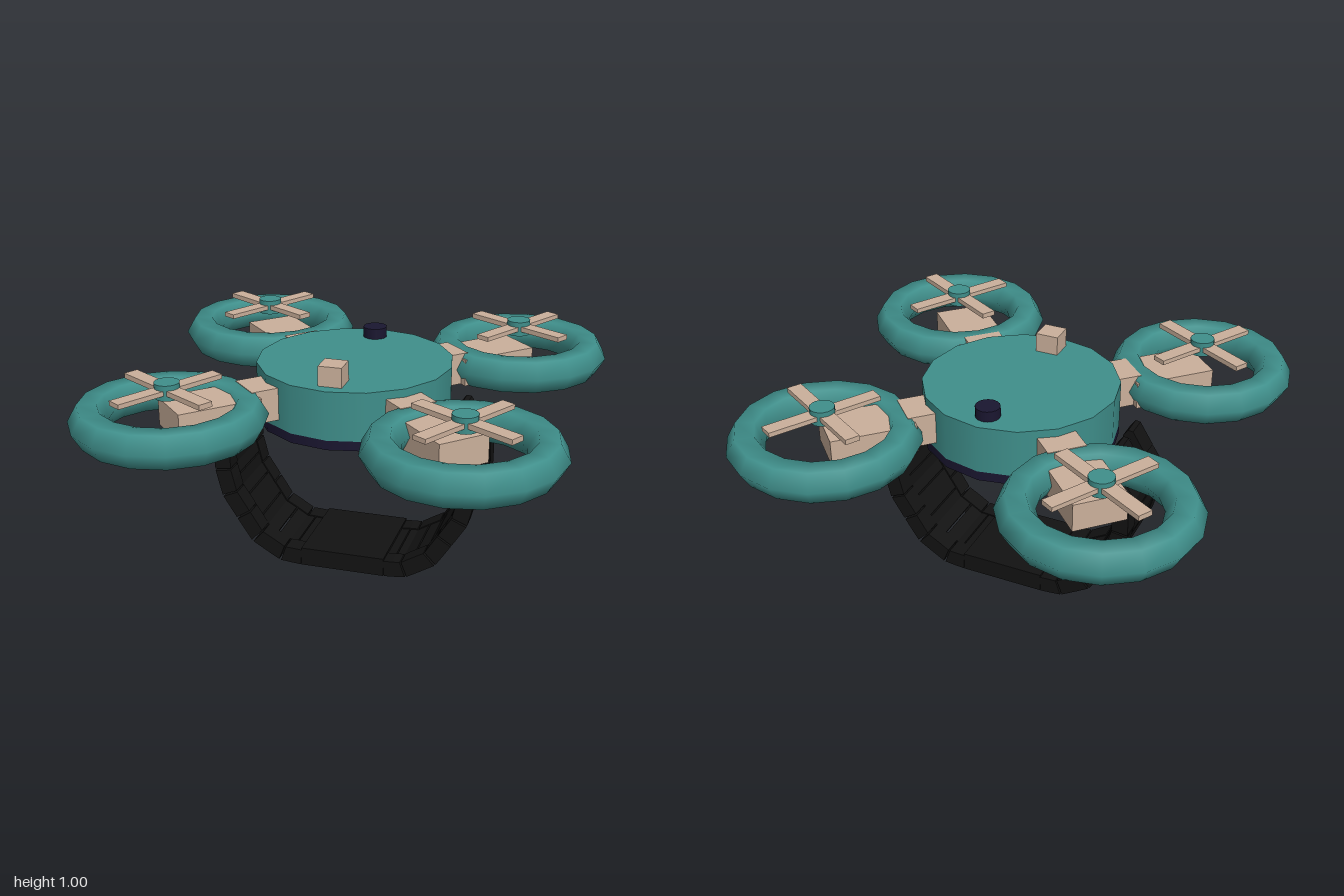
import * as THREE from 'three';

const mat = (color) => new THREE.MeshStandardMaterial({ color });

export function createModel() {
  const root = new THREE.Group();
  const teal = mat(0x3f8f8b), beige = mat(0xcbb09b), navy = mat(0x1a1630), black = mat(0x121212);

  const add = (parent, name, geo, material, x = 0, y = 0, z = 0) => {
    const m = new THREE.Mesh(geo, material);
    m.name = name;
    m.position.set(x, y, z);
    parent.add(m);
    return m;
  };
  const box = (w, h, d) => new THREE.BoxGeometry(w, h, d);
  const disc = (r, h) => new THREE.CylinderGeometry(r, r, h, 16);

  // Round body with its base plate, camera block and button
  add(root, 'body', disc(0.42, 0.21), teal, 0, 0.812, 0);
  add(root, 'basePlate', disc(0.42, 0.042), navy, 0, 0.687, 0);
  add(root, 'cameraBlock', box(0.1, 0.09, 0.1), beige, 0, 0.957, 0.315);
  add(root, 'topButton', disc(0.052, 0.048), navy, 0, 0.939, -0.32);

  // Four rotors on diagonal arms
  const ringGeo = new THREE.TorusGeometry(0.32, 0.08, 6, 16).rotateX(Math.PI / 2);
  for (const sx of [1, -1]) for (const sz of [1, -1]) {
    const rotor = new THREE.Group();
    rotor.name = 'rotor';
    add(rotor, 'guardRing', ringGeo, teal, sx * 0.6, 0.81, sz * 0.6);

    // Arm pieces lie along local +z, which is turned outwards
    const arm = new THREE.Group();
    arm.name = 'arm';
    arm.rotation.y = Math.atan2(sx, sz);
    add(arm, 'armConnector', box(0.165, 0.14, 0.17), beige, 0, 0.812, 0.435);
    add(arm, 'motorMount', box(0.225, 0.12, 0.36), beige, 0, 0.8, 0.67);
    rotor.add(arm);

    // Crossed propeller blades and hub
    const propeller = new THREE.Group();
    propeller.name = 'propeller';
    propeller.position.set(sx * 0.6, 0.93, sz * 0.6);
    propeller.rotation.y = -Math.PI / 6;
    add(propeller, 'bladePair', box(0.5, 0.022, 0.063), beige);
    add(propeller, 'bladePair', box(0.063, 0.02, 0.5), beige);
    add(propeller, 'hub', disc(0.052, 0.064), teal);
    rotor.add(propeller);
    root.add(rotor);
  }

  // Strap centre line, from the lug down to the clasp
  const path = [
    [0.478, 0.625], [0.543, 0.535], [0.543, 0.42], [0.515, 0.307], [0.454, 0.211],
    [0.392, 0.115], [0.275, 0.045], [0.185, 0.038],
  ].map(([x, y]) => new THREE.Vector2(x, y));
  const stations = [];
  path.forEach((p, i) => {
    stations.push(p);
    if (i < path.length - 1) stations.push(p.clone().lerp(path[i + 1], 0.5));
  });
  const half = 0.036;
  const offset = (i, d) => {
    const a = stations[Math.max(i - 1, 0)], b = stations[Math.min(i + 1, stations.length - 1)];
    const t = b.clone().sub(a).normalize();
    return new THREE.Vector2(-t.y, t.x).multiplyScalar(d).add(stations[i]);
  };

  const extrude = (shape, z, depth) =>
    new THREE.ExtrudeGeometry(shape, { depth, bevelEnabled: false, curveSegments: 6 }).translate(0, 0, z - depth / 2);

  // One link covering stations i to j, with a narrow gap at each end
  const link = (i, j, z, width, thick) => {
    const edge = (d) => {
      const pts = [];
      for (let k = i; k <= j; k++) pts.push(offset(k, d));
      const n = pts.length - 1;
      const first = pts[0].clone().lerp(pts[1], 0.07), last = pts[n].clone().lerp(pts[n - 1], 0.07);
      pts[0] = first;
      pts[n] = last;
      return pts;
    };
    return extrude(new THREE.Shape([...edge(thick), ...edge(-thick).reverse()]), z, width);
  };

  // Strap halves: hinge lugs, outer links and staggered centre links
  const lugShape = new THREE.Shape([
    [0.43, 0.70], [0.452, 0.73], [0.474, 0.727], [0.535, 0.63], [0.47, 0.60], [0.43, 0.62],
  ].map(([x, y]) => new THREE.Vector2(x, y)));
  const pinHole = new THREE.Path();
  pinHole.absarc(0.453, 0.682, 0.011, 0, Math.PI * 2, true);
  lugShape.holes.push(pinHole);

  const lastStation = stations.length - 1;
  for (const turn of [0, Math.PI]) {
    const strap = new THREE.Group();
    strap.name = 'strapHalf';
    strap.rotation.y = turn;
    for (const z of [-0.145, 0, 0.145]) add(strap, 'hingeLug', extrude(lugShape, z, 0.092), black);
    for (let i = 0; i < lastStation; i += 2) {
      for (const s of [-1, 1]) add(strap, 'outerLink', link(i, i + 2, s * 0.167, 0.083, half), black);
    }
    for (let i = 1; i < lastStation; i += 2) {
      add(strap, 'centreLink', link(i, Math.min(i + 2, lastStation), 0, 0.246, half * 0.9), black);
    }
    root.add(strap);
  }

  // Clasp joining both halves
  add(root, 'clasp', box(0.374, 0.082, 0.416), black, 0, 0.043, 0);

  return root;
}
